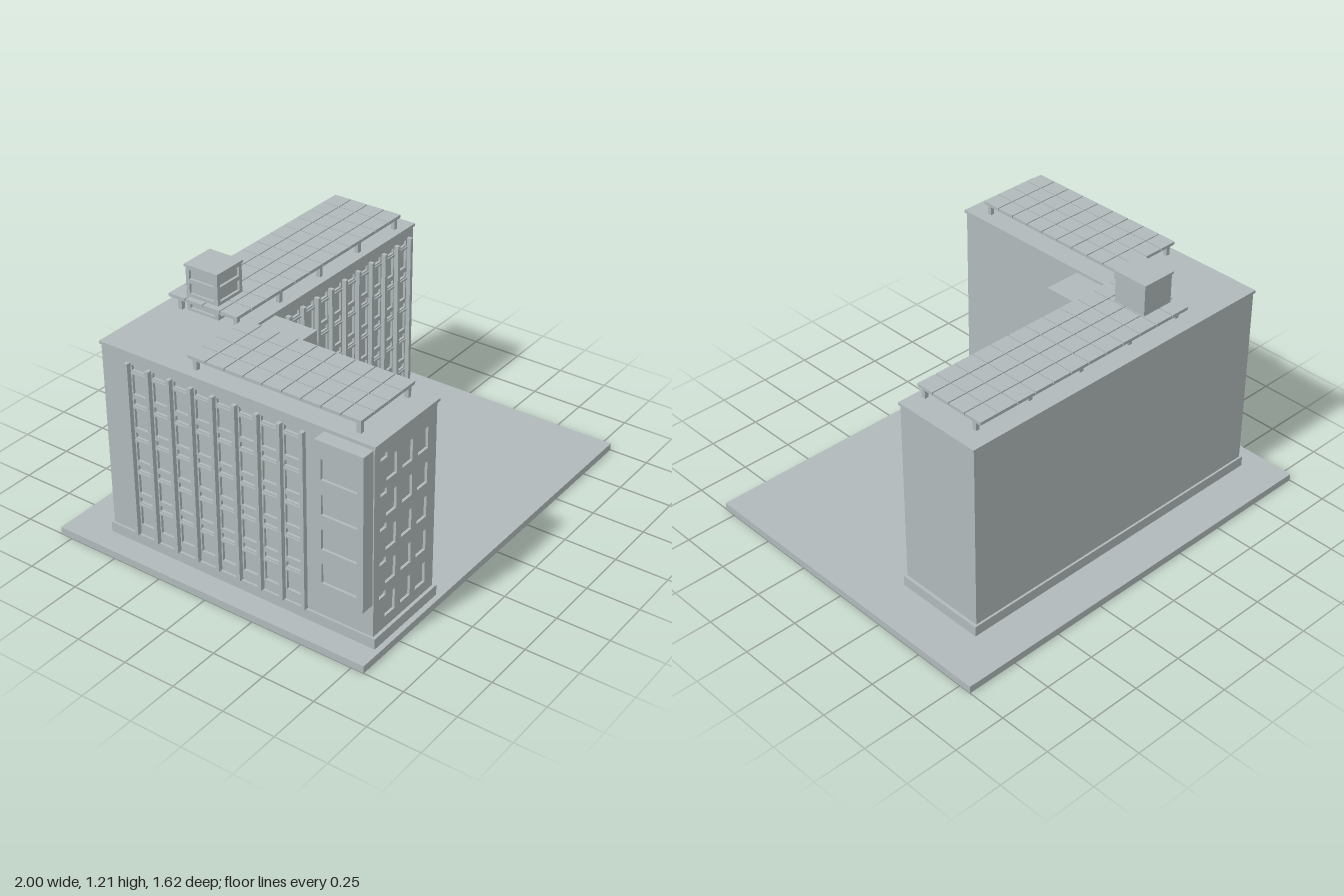
import * as THREE from 'three';

const RECESS = 0.012;
const FLOOR = 0.163;
const WALL_BASE = 0.085;
const WALL_TOP = 0.975;

export function createModel() {
  const model = new THREE.Group();
  model.name = 'officeBuilding';
  const grey = new THREE.MeshStandardMaterial({ color: 0xb0b9ba });
  grey.name = 'concreteGrey';

  function group(name) {
    const g = new THREE.Group();
    g.name = name;
    model.add(g);
    return g;
  }

  // Box given by its limits on each axis
  function box(name, x0, x1, y0, y1, z0, z1, parent = model) {
    const mesh = new THREE.Mesh(new THREE.BoxGeometry(x1 - x0, y1 - y0, z1 - z0), grey);
    mesh.position.set((x0 + x1) / 2, (y0 + y1) / 2, (z0 + z1) / 2);
    mesh.name = name;
    parent.add(mesh);
    return mesh;
  }

  // Thin wall skin with rectangular openings [u0, u1, y0, y1]
  function facade(name, u0, u1, y0, y1, openings) {
    const rect = (P, a, b, c, d) => {
      const p = new P();
      p.moveTo(a, c);
      p.lineTo(b, c);
      p.lineTo(b, d);
      p.lineTo(a, d);
      p.closePath();
      return p;
    };
    const shape = rect(THREE.Shape, u0, u1, y0, y1);
    openings.forEach(o => shape.holes.push(rect(THREE.Path, ...o)));
    const geo = new THREE.ExtrudeGeometry(shape, { depth: RECESS, bevelEnabled: false });
    const mesh = new THREE.Mesh(geo, grey);
    mesh.name = name;
    model.add(mesh);
    return mesh;
  }
  function faceFront(mesh, z) {
    mesh.position.z = z - RECESS;
  }
  function faceLeftEnd(mesh, x) {
    mesh.rotation.y = -Math.PI / 2;
    mesh.position.x = x + RECESS;
  }

  // Window and vent openings between evenly spaced pilasters
  function bayOpenings(start, pitch, bays, half) {
    const list = [];
    for (let b = 0; b < bays; b++) {
      const c = start + pitch * (b + 0.5);
      for (let f = 0; f < 5; f++) {
        const y = 0.135 + f * FLOOR;
        list.push([c - half, c + half, y, y + 0.096]);
        list.push([c - half, c + half, y + 0.115, y + 0.14]);
      }
    }
    return list;
  }

  // Ground slab and plinth
  box('groundSlab', -1, 1, 0, 0.035, -0.81, 0.81);
  box('plinthBack', -0.89, 0.785, 0.035, WALL_BASE, -0.61, -0.163);
  box('plinthWing', -0.89, -0.445, 0.035, WALL_BASE, -0.163, 0.785);
  box('plinthStairTower', -0.445, -0.258, 0.035, WALL_BASE, -0.163, 0.057);

  // Wall cores behind the window skins
  box('backBlock', -0.868, 0.77, WALL_BASE, WALL_TOP, -0.6, -0.182);
  box('wingBlock', -0.868, -0.455, WALL_BASE, WALL_TOP, -0.182, 0.758);
  box('stairTower', -0.455, -0.27, WALL_BASE, WALL_TOP - 0.004, -0.182, 0.038);

  // Courtyard front of the back block
  const backStart = -0.19, backPitch = 0.102;
  faceFront(facade('courtyardFacade', -0.27, 0.77, WALL_BASE, WALL_TOP,
    bayOpenings(backStart, backPitch, 9, 0.036)), -0.17);
  const frontRibs = group('courtyardPilasters');
  for (let i = 0; i < 10; i++) {
    const x = backStart + i * backPitch;
    box('pilaster', x - 0.009, x + 0.009, WALL_BASE, 0.935, -0.172, -0.148, frontRibs);
  }
  const sills = group('courtyardSills');
  for (let i = 0; i < 9; i++) for (let f = 0; f < 5; f++) {
    const x = backStart + (i + 0.5) * backPitch;
    const y = 0.233 + f * FLOOR;
    box('lintel', x - 0.039, x + 0.039, y, y + 0.01, -0.172, -0.164, sills);
  }

  // Long left side
  const sideStart = -0.455, sidePitch = 0.1115;
  faceLeftEnd(facade('sideFacade', -0.6, 0.758, WALL_BASE, WALL_TOP,
    bayOpenings(sideStart, sidePitch, 8, 0.04)), -0.88);
  const sideRibs = group('sidePilasters');
  for (let i = 0; i < 9; i++) {
    const z = sideStart + i * sidePitch;
    box('pilaster', -0.902, -0.878, WALL_BASE, 0.935, z - 0.009, z + 0.009, sideRibs);
  }
  const sideSills = group('sideSills');
  for (let i = 0; i < 8; i++) for (let f = 0; f < 5; f++) {
    const z = sideStart + (i + 0.5) * sidePitch;
    const y = 0.233 + f * FLOOR;
    box('lintel', -0.886, -0.878, y, y + 0.01, z - 0.043, z + 0.043, sideSills);
  }

  // Front end of the wing
  const endOpenings = [];
  for (let f = 0; f < 5; f++) {
    const y = 0.138 + f * FLOOR;
    for (const x of [-0.765, -0.657, -0.55]) endOpenings.push([x - 0.035, x + 0.035, y, y + 0.1]);
    endOpenings.push([-0.84, -0.795, y + 0.107, y + 0.132]);
  }
  faceFront(facade('wingEndFacade', -0.88, -0.455, WALL_BASE, WALL_TOP, endOpenings), 0.77);

  // Overhanging bay on the side of the wing
  box('bayBlock', -0.933, -0.88, 0.24, 0.967, 0.535, 0.765);
  const bayWindows = [];
  for (let f = 1; f < 5; f++) bayWindows.push([0.565, 0.735, 0.14 + f * FLOOR, 0.235 + f * FLOOR]);
  faceLeftEnd(facade('bayFacade', 0.535, 0.765, 0.24, 0.967, bayWindows), -0.945);

  // Stair tower front with door and landing windows
  const towerOpenings = [[-0.45, -0.295, 0.105, 0.243]];
  for (let f = 1; f < 5; f++) towerOpenings.push([-0.45, -0.295, 0.18 + f * FLOOR, 0.243 + f * FLOOR]);
  faceFront(facade('stairTowerFacade', -0.455, -0.27, WALL_BASE, WALL_TOP - 0.004, towerOpenings), 0.05);

  // Entrance steps
  const steps = group('entranceSteps');
  const count = 7;
  for (let i = 0; i < count; i++) {
    const z = 0.24 - i * 0.0225;
    const y = 0.035 + (i + 1) * 0.01;
    box('step', -0.445, -0.26, 0.035, y, i === count - 1 ? 0.05 : z - 0.0225, z, steps);
  }

  // Roof slab
  box('roofBack', -0.887, 0.777, WALL_TOP, 0.988, -0.606, -0.165);
  box('roofWing', -0.887, -0.447, WALL_TOP, 0.988, -0.165, 0.778);

  // Raised roof panels on posts
  function panelArray(name, x0, x1, z0, z1, nx, nz, postsX, postsZ) {
    const g = group(name);
    const dx = (x1 - x0) / nx, dz = (z1 - z0) / nz, gap = 0.005;
    box('panelDeck', x0 + gap, x1 - gap, 1.038, 1.045, z0 + gap, z1 - gap, g);
    for (let i = 0; i < nx; i++) for (let j = 0; j < nz; j++) {
      const x = x0 + i * dx, z = z0 + j * dz;
      box('panel', x + gap / 2, x + dx - gap / 2, 1.043, 1.055, z + gap / 2, z + dz - gap / 2, g);
    }
    for (const x of postsX) for (const z of postsZ) {
      box('post', x - 0.01, x + 0.01, 0.985, 1.04, z - 0.01, z + 0.01, g);
    }
  }
  panelArray('backRoofPanels', -0.5, 0.7, -0.562, -0.19, 12, 4,
    [-0.475, -0.187, 0.1, 0.388, 0.675], [-0.212, -0.51]);
  panelArray('wingRoofPanels', -0.855, -0.487, -0.163, 0.69, 4, 9,
    [-0.83, -0.512], [-0.135, 0.668]);

  // Rooftop lift housing with openings on two sides
  box('liftHousing', -0.458, -0.307, 0.985, 1.195, -0.483, -0.326);
  box('liftHousingCap', -0.476, -0.304, 1.195, 1.206, -0.487, -0.309);
  const slots = [[1.0, 1.045], [1.07, 1.118], [1.138, 1.182]];
  faceFront(facade('liftFrontFacade', -0.458, -0.307, 0.985, 1.195,
    slots.map(s => [-0.452, -0.325, ...s])), -0.314);
  faceLeftEnd(facade('liftSideFacade', -0.483, -0.314, 0.985, 1.195,
    slots.map(s => [-0.465, -0.335, ...s])), -0.47);

  return model;
}
